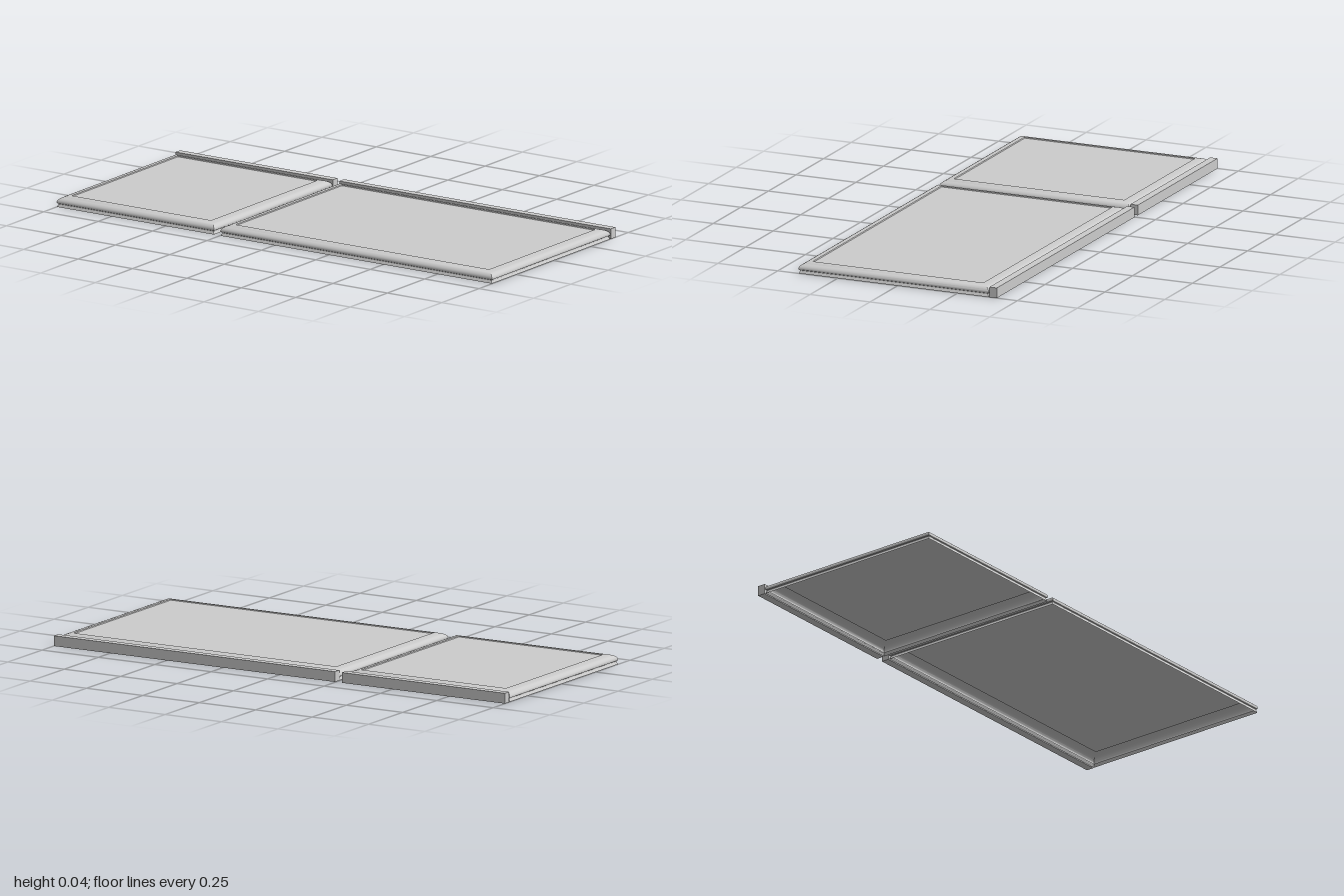
import * as THREE from 'three';
import { toCreasedNormals } from 'three/addons/utils/BufferGeometryUtils.js';

const material = new THREE.MeshStandardMaterial({ color: 0xcccccc, side: THREE.DoubleSide });

// Moulding section, from the foot up to the field: [inset from outer edge, height]
const profile = [
  [0.001, 0], [0.004, 0.008], [0.005, 0.009], [0.005, 0.013], [0.001, 0.015],
  [0, 0.019], [0.001, 0.024], [0.004, 0.029], [0.009, 0.033], [0.016, 0.037],
  [0.025, 0.0395], [0.034, 0.041], [0.041, 0.0415], [0.043, 0.038], [0.047, 0.038],
];

// Hollow panel: the section carried around a rectangle with mitred corners
function panelGeometry(x0, x1, z0, z1) {
  const ring = ([i, y]) => [
    [x0 + i, y, z1 - i], [x1 - i, y, z1 - i], [x1 - i, y, z0 + i], [x0 + i, y, z0 + i],
  ];
  const positions = [];
  const quad = (a, b, c, d) => positions.push(...a, ...b, ...c, ...a, ...c, ...d);
  for (let p = 0; p < profile.length - 1; p++) {
    const low = ring(profile[p]), high = ring(profile[p + 1]);
    for (let s = 0; s < 4; s++) {
      const n = (s + 1) % 4;
      quad(low[s], low[n], high[n], high[s]);
    }
  }
  quad(...ring(profile[profile.length - 1])); // flat field
  const geometry = new THREE.BufferGeometry();
  geometry.setAttribute('position', new THREE.Float32BufferAttribute(positions, 3));
  return toCreasedNormals(geometry, 0.65);
}

export function createModel() {
  const model = new THREE.Group();
  model.name = 'panelPair';

  for (const [name, x0, x1] of [['small', -1, -0.277], ['large', -0.247, 1]]) {
    const section = new THREE.Group();
    section.name = name + 'Section';

    const panel = new THREE.Mesh(panelGeometry(x0, x1, -0.38, 0.414), material);
    panel.name = name + 'Panel';

    // Square strip behind the panel
    const strip = new THREE.Mesh(new THREE.BoxGeometry(x1 - x0, 0.04, 0.031), material);
    strip.name = name + 'BackStrip';
    strip.position.set((x0 + x1) / 2, 0.02, -0.3985);

    section.add(panel, strip);
    model.add(section);
  }
  return model;
}
